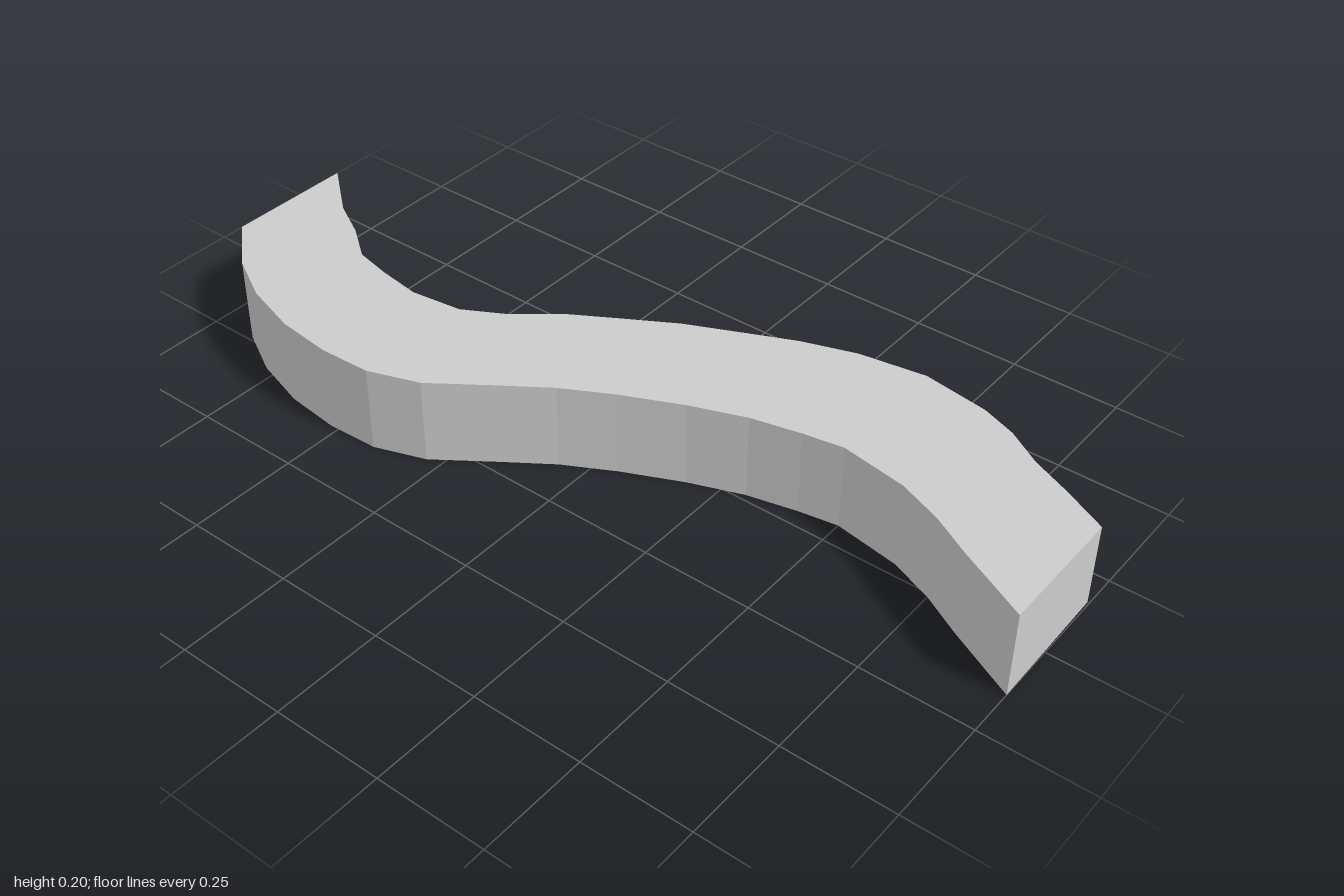
import * as THREE from 'three';

// Plan outline as [x, z] points, back to front along each side
const rightEdge = [
  [-0.14, -1], [-0.24, -0.89], [-0.30, -0.78], [-0.34, -0.65], [-0.355, -0.52], [-0.35, -0.4],
  [-0.31, -0.285], [-0.22, -0.16], [-0.15, -0.06], [-0.09, 0.05], [-0.03, 0.18], [0.015, 0.3],
  [0.04, 0.41], [0.055, 0.5], [0.03, 0.65], [-0.01, 0.75], [-0.06, 0.84], [-0.14, 1],
];
const leftEdge = [
  [0.16, -1], [0.06, -0.88], [0.01, -0.79], [-0.05, -0.71], [-0.07, -0.62], [-0.085, -0.52],
  [-0.07, -0.4], [-0.02, -0.31], [0.06, -0.21], [0.12, -0.11], [0.185, 0], [0.24, 0.12],
  [0.29, 0.23], [0.33, 0.35], [0.353, 0.5], [0.33, 0.65], [0.30, 0.73], [0.25, 0.81],
  [0.21, 0.9], [0.16, 1],
];

export function createModel() {
  const group = new THREE.Group();
  group.name = 'curvedBlock';

  // S-shaped slab, extruded upward
  const outline = [...rightEdge, ...leftEdge.slice().reverse()];
  const shape = new THREE.Shape(outline.map(([x, z]) => new THREE.Vector2(x, -z)));
  const geometry = new THREE.ExtrudeGeometry(shape, { depth: 0.2, bevelEnabled: false });
  geometry.rotateX(-Math.PI / 2);

  // The front left bottom corner is lifted slightly
  const pos = geometry.attributes.position;
  for (let i = 0; i < pos.count; i++) {
    if (pos.getX(i) > 0.15 && pos.getZ(i) > 0.95 && pos.getY(i) < 0.1) pos.setY(i, 0.01);
  }
  geometry.computeVertexNormals();

  const slab = new THREE.Mesh(
    geometry,
    new THREE.MeshStandardMaterial({ color: 0xcccccc, flatShading: true }),
  );
  slab.name = 'windingSlab';
  group.add(slab);
  return group;
}
